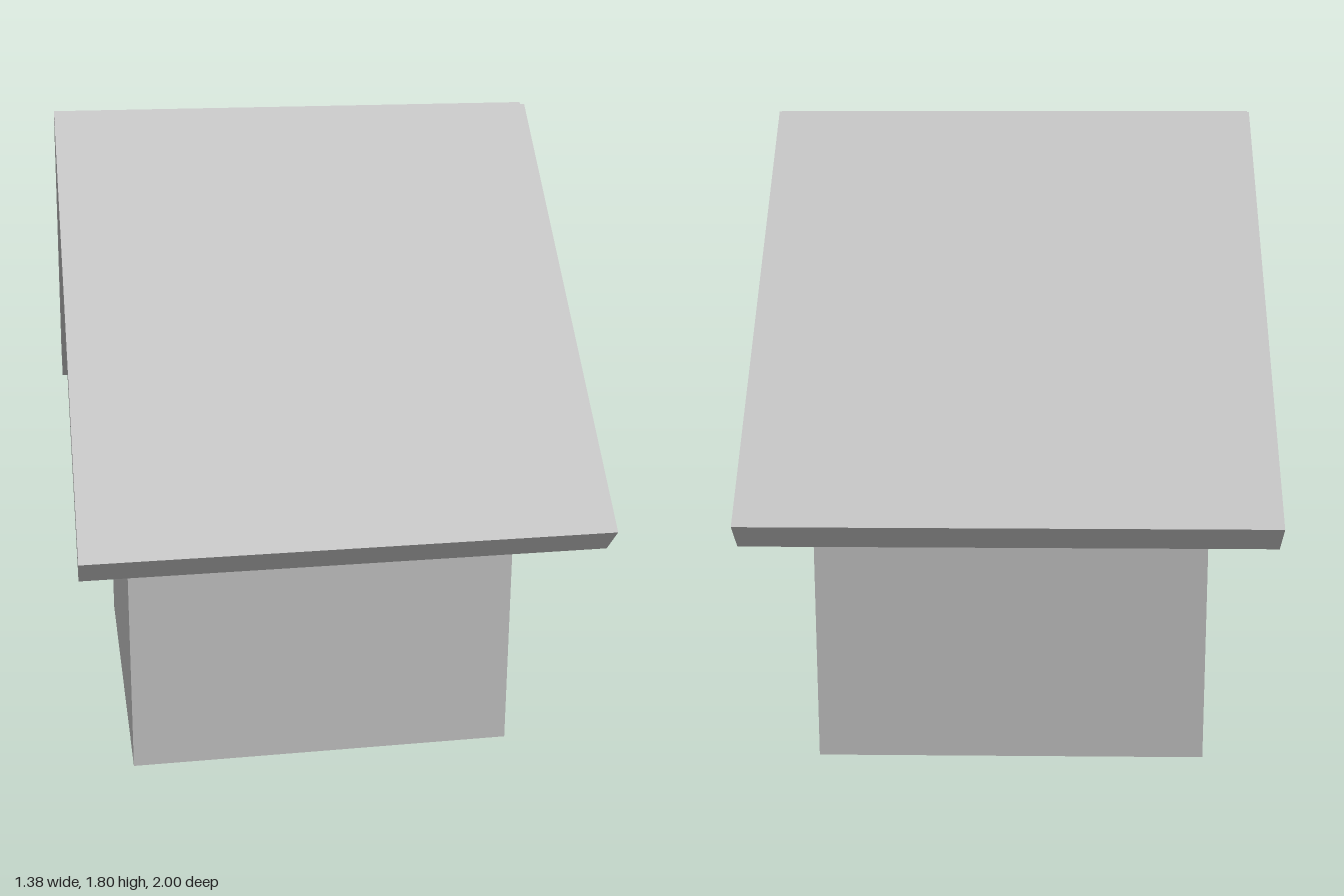
import * as THREE from 'three';

export function createModel() {
  const group = new THREE.Group();
  const material = new THREE.MeshStandardMaterial({ color: 0xcccccc, flatShading: true });

  const add = (name, geometry, x = 0, y = 0, z = 0) => {
    const mesh = new THREE.Mesh(geometry, material);
    mesh.name = name;
    mesh.position.set(x, y, z);
    group.add(mesh);
    return mesh;
  };

  // Square house body
  add('walls', new THREE.BoxGeometry(1.1, 1.1, 1.1), 0, 0.55, 0);

  // Triangular attic prism, slightly wider than the walls, running along x
  const gableWidth = 1.24;
  const triangle = new THREE.Shape([
    new THREE.Vector2(-0.57, 1.1),
    new THREE.Vector2(0.57, 1.1),
    new THREE.Vector2(0, 1.67),
  ]);
  const gable = new THREE.ExtrudeGeometry(triangle, { depth: gableWidth, bevelEnabled: false });
  gable.translate(0, 0, -gableWidth / 2).rotateY(Math.PI / 2);
  add('gable', gable);

  // Two tilted roof slabs that cross at the ridge
  for (const side of [1, -1]) {
    const slab = add(
      side > 0 ? 'frontRoofSlab' : 'backRoofSlab',
      new THREE.BoxGeometry(1.38, 0.106, 1.38),
      0, 1.274, side * 0.474
    );
    slab.rotation.x = side * Math.PI / 4;
  }

  return group;
}
